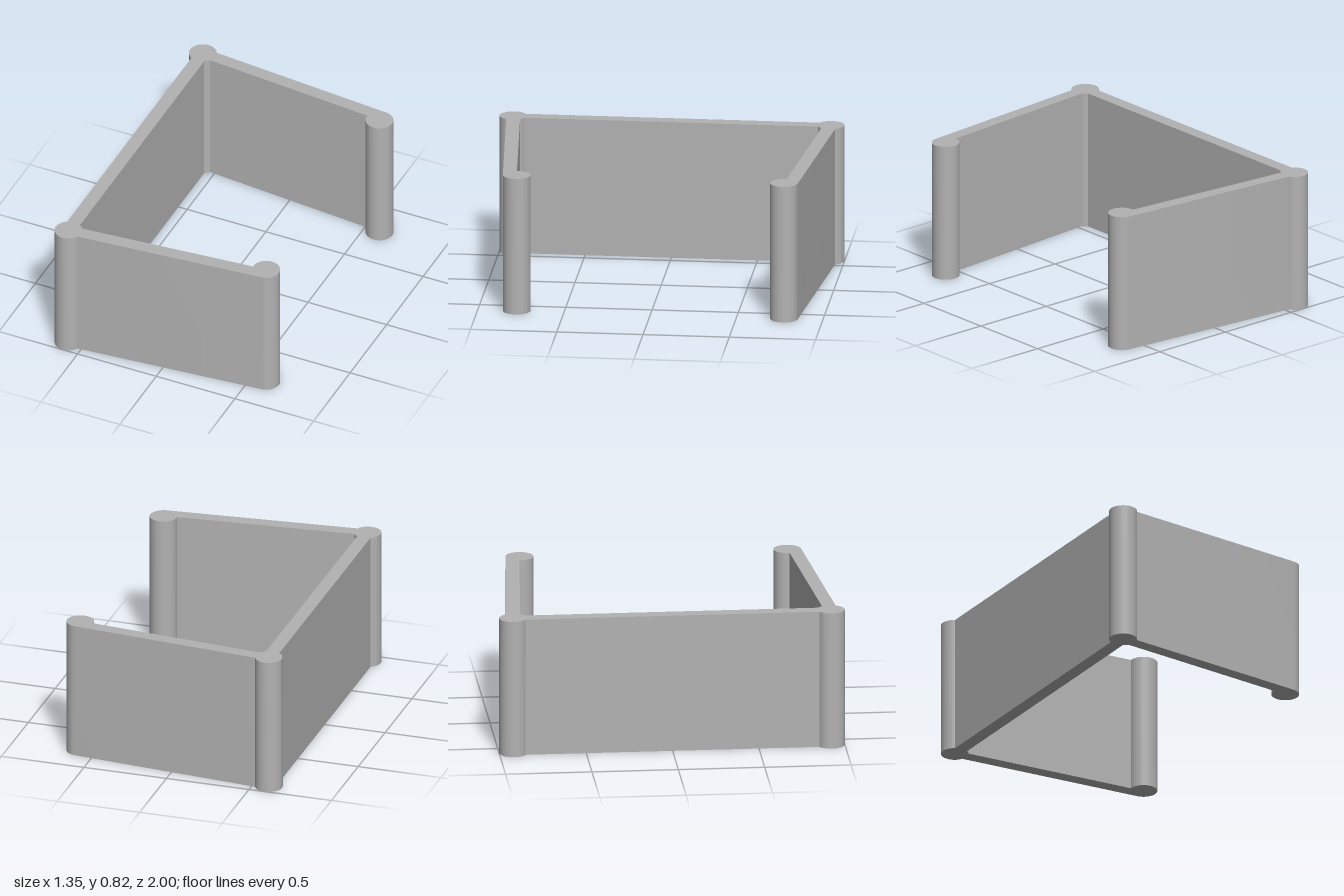
import * as THREE from 'three';
import { toCreasedNormals } from 'three/addons/utils/BufferGeometryUtils.js';

const HEIGHT = 0.816;
const POST_RADIUS = 0.08;
const CORNER = [-0.595, 0.92]; // centre of the corner post (x, z)
const TIP = [0.595, 0.775];    // centre of the rounded post at the arm's free end

// Points on a post's rim between two angles in degrees
function arc([cx, cz], from, to) {
  const steps = Math.ceil(Math.abs(to - from) / 3);
  return Array.from({ length: steps + 1 }, (_, i) => {
    const a = THREE.MathUtils.degToRad(from + ((to - from) * i) / steps);
    return new THREE.Vector2(cx + POST_RADIUS * Math.cos(a), cz + POST_RADIUS * Math.sin(a));
  });
}

export function createModel() {
  const gray = new THREE.MeshStandardMaterial({ color: 0xb2b2b2 });
  gray.name = 'gray';

  // Half of the plan outline: corner post, arm leaning in 5 degrees, tip post, inner corner
  const half = [
    ...arc(CORNER, 240, 25),
    ...arc(TIP, 85, -185),
    ...arc(CORNER, -35, -60),
  ];
  // Mirrored half, joined by the straight back wall
  const mirrored = half.map((p) => new THREE.Vector2(p.x, -p.y)).reverse();

  let geometry = new THREE.ExtrudeGeometry(new THREE.Shape([...half, ...mirrored]), {
    depth: HEIGHT,
    bevelEnabled: false,
  });
  geometry.rotateX(Math.PI / 2).translate(0, HEIGHT, 0);
  geometry = toCreasedNormals(geometry, 0.4);

  const clip = new THREE.Mesh(geometry, gray);
  clip.name = 'clipBody';

  const group = new THREE.Group();
  group.name = 'channelClip';
  group.add(clip);
  return group;
}
